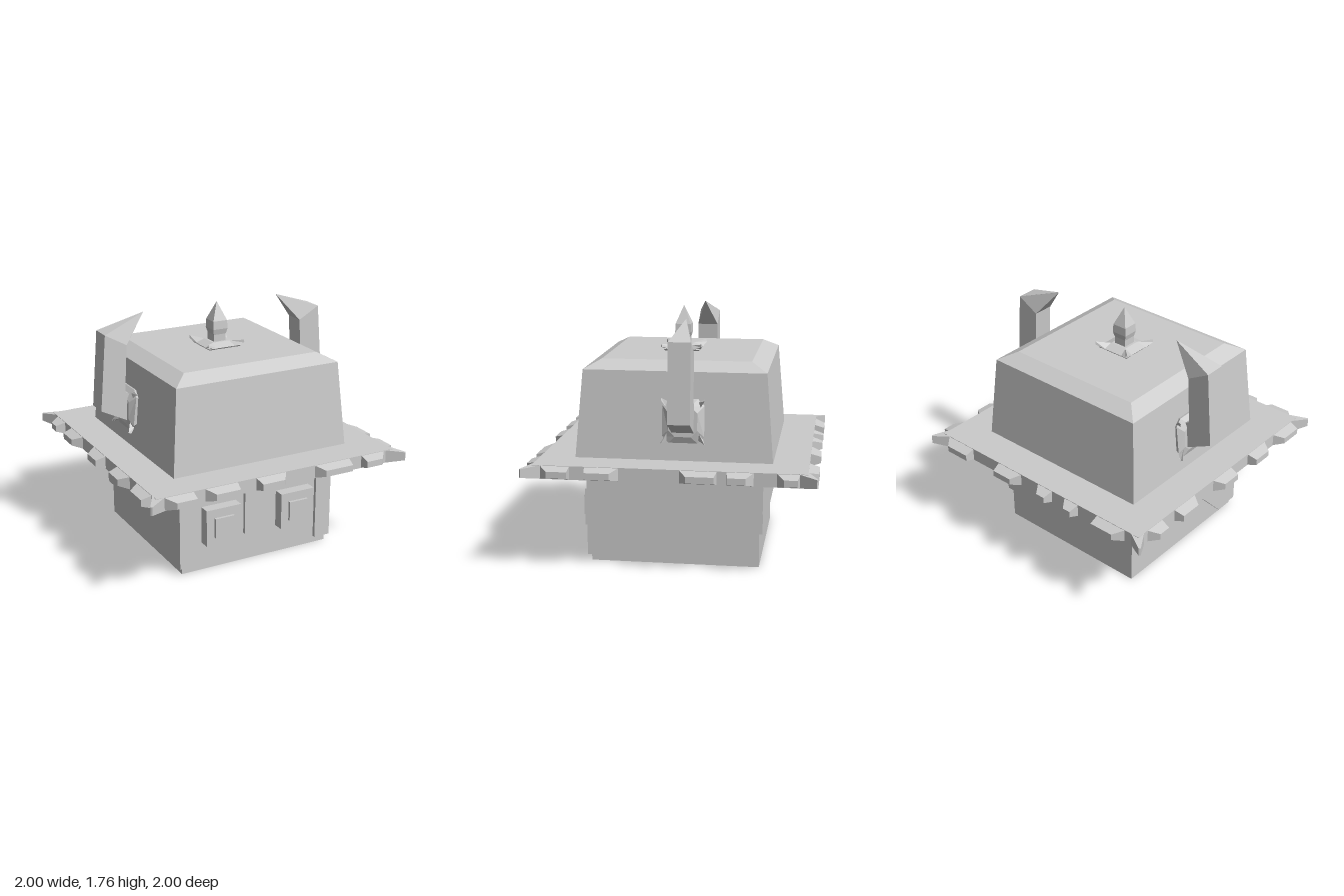
import * as THREE from 'three';

const material = new THREE.MeshStandardMaterial({ color: 0xcccccc, flatShading: true });

function add(parent, name, geometry, x = 0, y = 0, z = 0) {
  const mesh = new THREE.Mesh(geometry, material);
  mesh.name = name;
  mesh.position.set(x, y, z);
  parent.add(mesh);
  return mesh;
}

// Box given by its extents
function block(parent, name, [x0, x1], [y0, y1], [z0, z1]) {
  const g = new THREE.BoxGeometry(x1 - x0, y1 - y0, z1 - z0);
  return add(parent, name, g, (x0 + x1) / 2, (y0 + y1) / 2, (z0 + z1) / 2);
}

// Closed solid through cross-sections, each with the same number of points
function loft(sections) {
  const tris = [];
  const n = sections[0].length;
  for (let s = 0; s < sections.length - 1; s++) {
    const a = sections[s], b = sections[s + 1];
    for (let i = 0; i < n; i++) {
      const j = (i + 1) % n;
      tris.push([a[i], a[j], b[j]], [a[i], b[j], b[i]]);
    }
  }
  const first = sections[0], last = sections[sections.length - 1];
  for (let i = 1; i < n - 1; i++) {
    tris.push([first[0], first[i + 1], first[i]], [last[0], last[i], last[i + 1]]);
  }
  // A negative volume means the faces point inwards
  let volume = 0;
  for (const [a, b, c] of tris) {
    volume += new THREE.Vector3(...a).dot(new THREE.Vector3(...b).cross(new THREE.Vector3(...c)));
  }
  if (volume < 0) tris.forEach((t) => t.reverse());
  const g = new THREE.BufferGeometry();
  g.setAttribute('position', new THREE.Float32BufferAttribute(tris.flat(2), 3));
  g.computeVertexNormals();
  return g;
}

// Horizontal rectangle at height y
const level = (y, hx, hz = hx) => [[-hx, y, -hz], [-hx, y, hz], [hx, y, hz], [hx, y, -hz]];

function extrude(points, depth) {
  const shape = new THREE.Shape(points.map(([x, y]) => new THREE.Vector2(x, y)));
  return new THREE.ExtrudeGeometry(shape, { depth, bevelEnabled: false });
}

function buildHead(model) {
  block(model, 'head', [-0.59, 0.59], [0, 0.7], [-0.59, 0.6]);
  for (const s of [-1, 1]) {
    const cx = s * 0.3;
    block(model, 'eye', [cx - 0.135, cx + 0.135], [0.21, 0.48], [0.58, 0.68]);
    block(model, 'pupil', [cx - 0.075, cx + 0.075], [0.27, 0.415], [0.66, 0.7]);
  }
}

function buildFaceGuard(model) {
  const guard = new THREE.Group();
  guard.name = 'faceGuard';
  // Front plate with cheek strips and a nose guard
  const half = [[0.1, 0.21], [0.1, 0.56], [0.49, 0.56], [0.49, 0.05], [0.615, 0.05], [0.615, 0.7]];
  const mirrored = half.map(([x, y]) => [-x, y]).reverse();
  add(guard, 'frontPlate', extrude([...half, ...mirrored], 0.035), 0, 0, 0.59);
  // Side plates, drawn as (-z, y) and turned to face sideways
  const side = [[-0.624, 0.05], [-0.43, 0.04], [-0.21, 0.27], [0.614, 0.25], [0.614, 0.7], [-0.624, 0.7]];
  for (const x of [-0.615, 0.58]) {
    add(guard, 'sidePlate', extrude(side, 0.035), x).rotation.y = Math.PI / 2;
  }
  block(guard, 'backPlate', [-0.61, 0.61], [0.25, 0.7], [-0.615, -0.58]);
  model.add(guard);
}

function buildBrim(model) {
  const brim = new THREE.Group();
  brim.name = 'brim';
  block(brim, 'brimPlate', [-0.93, 0.93], [0.68, 0.775], [-0.93, 0.93]);
  // Chipped teeth: [start, end, slant] along each edge, front first
  const sides = [
    [[-0.88, -0.66, 0.03], [-0.58, -0.33, 0.02], [-0.19, 0.05, -0.02], [0.27, 0.56, 0.02], [0.66, 0.86, -0.03]],
    [[-0.88, -0.67, 0.03], [-0.57, -0.33, -0.02], [0.07, 0.33, 0.02], [0.39, 0.58, -0.02], [0.72, 0.88, 0.02]],
    [[-0.88, -0.62, 0.03], [-0.36, -0.13, -0.02], [0.02, 0.16, 0.02], [0.27, 0.4, 0.02], [0.57, 0.82, -0.03]],
    [[-0.84, -0.68, 0.02], [-0.55, -0.32, -0.02], [-0.12, 0.1, 0.02], [0.3, 0.52, -0.02], [0.62, 0.86, 0.02]],
  ];
  sides.forEach((teeth, k) => {
    const edge = new THREE.Group();
    edge.name = 'brimEdge';
    edge.rotation.y = (k * Math.PI) / 2;
    for (const [a, b, slant] of teeth) {
      const p = a + 0.035 + slant, q = b - 0.035 + slant;
      add(edge, 'brimTooth', loft([
        [[a, 0.68, 0.92], [b, 0.68, 0.92], [b, 0.775, 0.92], [a, 0.775, 0.92]],
        [[p, 0.705, 1], [q, 0.705, 1], [q, 0.75, 1], [p, 0.75, 1]],
      ]));
    }
    // Pointed corner
    add(edge, 'brimCorner', loft([
      [[0.87, 0.68, 0.93], [0.93, 0.68, 0.87], [0.93, 0.775, 0.87], [0.87, 0.775, 0.93]],
      [[0.99, 0.7, 1], [1, 0.7, 0.99], [1, 0.76, 0.99], [0.99, 0.76, 1]],
    ]));
    brim.add(edge);
  });
  model.add(brim);
}

function buildFinial(model) {
  const finial = new THREE.Group();
  finial.name = 'finial';
  finial.position.set(-0.005, 0, 0.02);
  add(finial, 'finialBase', loft([level(1.44, 0.12), level(1.455, 0.13), level(1.48, 0.065)]));
  // Upturned corner leaves
  for (let k = 0; k < 4; k++) {
    add(finial, 'finialLeaf', loft([
      [[0.04, 1.44, 0.12], [0.12, 1.44, 0.04], [0.07, 1.48, 0.07]],
      [[0.14, 1.475, 0.15], [0.15, 1.475, 0.14], [0.145, 1.495, 0.145]],
    ])).rotation.y = (k * Math.PI) / 2;
  }
  add(finial, 'finialSpike', loft([
    level(1.45, 0.048), level(1.53, 0.048), level(1.57, 0.058),
    level(1.63, 0.055), level(1.76, 0.001),
  ]));
  model.add(finial);
}

function buildHorn(model, s) {
  const horn = new THREE.Group();
  horn.name = s > 0 ? 'leftHorn' : 'rightHorn';
  horn.position.z = -0.07;
  // Section between an inner and an outer point, w deep either side
  const cut = ([x0, y0], [x1, y1], w) =>
    [[s * x0, y0, -w], [s * x0, y0, w], [s * x1, y1, w], [s * x1, y1, -w]];
  add(horn, 'hornBlade', loft([
    cut([0.62, 1.13], [0.62, 0.93], 0.076),
    cut([0.725, 1.19], [0.91, 1.075], 0.076),
    cut([0.705, 1.53], [0.865, 1.62], 0.076),
    cut([0.54, 1.729], [0.54, 1.731], 0.001),
  ]));
  // Octagonal collar against the crown
  const ring = (x, tilt, h, w) => {
    const c = 0.045;
    return [[h, w - c], [h - c, w], [c - h, w], [-h, w - c], [-h, c - w], [c - h, -w], [h - c, -w], [h, c - w]]
      .map(([y, z]) => [s * (x - tilt * y), 1.055 + y, z]);
  };
  add(horn, 'hornCollar', loft([
    ring(0.63, 0.08, 0.13, 0.12), ring(0.685, 0.12, 0.15, 0.145), ring(0.715, 0.05, 0.105, 0.1),
  ]));
  // Small thorns at the collar corners
  for (const v of [-1, 1]) {
    for (const w of [-1, 1]) {
      const x = v > 0 ? 0.66 : 0.69;
      const y = 1.055 + v * 0.12, z = w * 0.11;
      add(horn, 'collarThorn', loft([
        [[s * x, y, z - 0.025], [s * x, y, z + 0.025], [s * (x + 0.02), y - v * 0.04, z]],
        [[s * (x + 0.03), y + v * 0.035, w * 0.148], [s * (x + 0.03), y + v * 0.035, w * 0.15],
          [s * (x + 0.05), y + v * 0.025, w * 0.149]],
      ]));
    }
  }
  model.add(horn);
}

export function createModel() {
  const model = new THREE.Group();
  model.name = 'hornedHelmetHead';
  buildHead(model);
  buildFaceGuard(model);
  buildBrim(model);
  // Tapered crown with a bevelled top
  add(model, 'crown', loft([level(0.76, 0.685), level(1.385, 0.633), level(1.445, 0.52)]));
  buildFinial(model);
  for (const s of [-1, 1]) buildHorn(model, s);
  return model;
}
